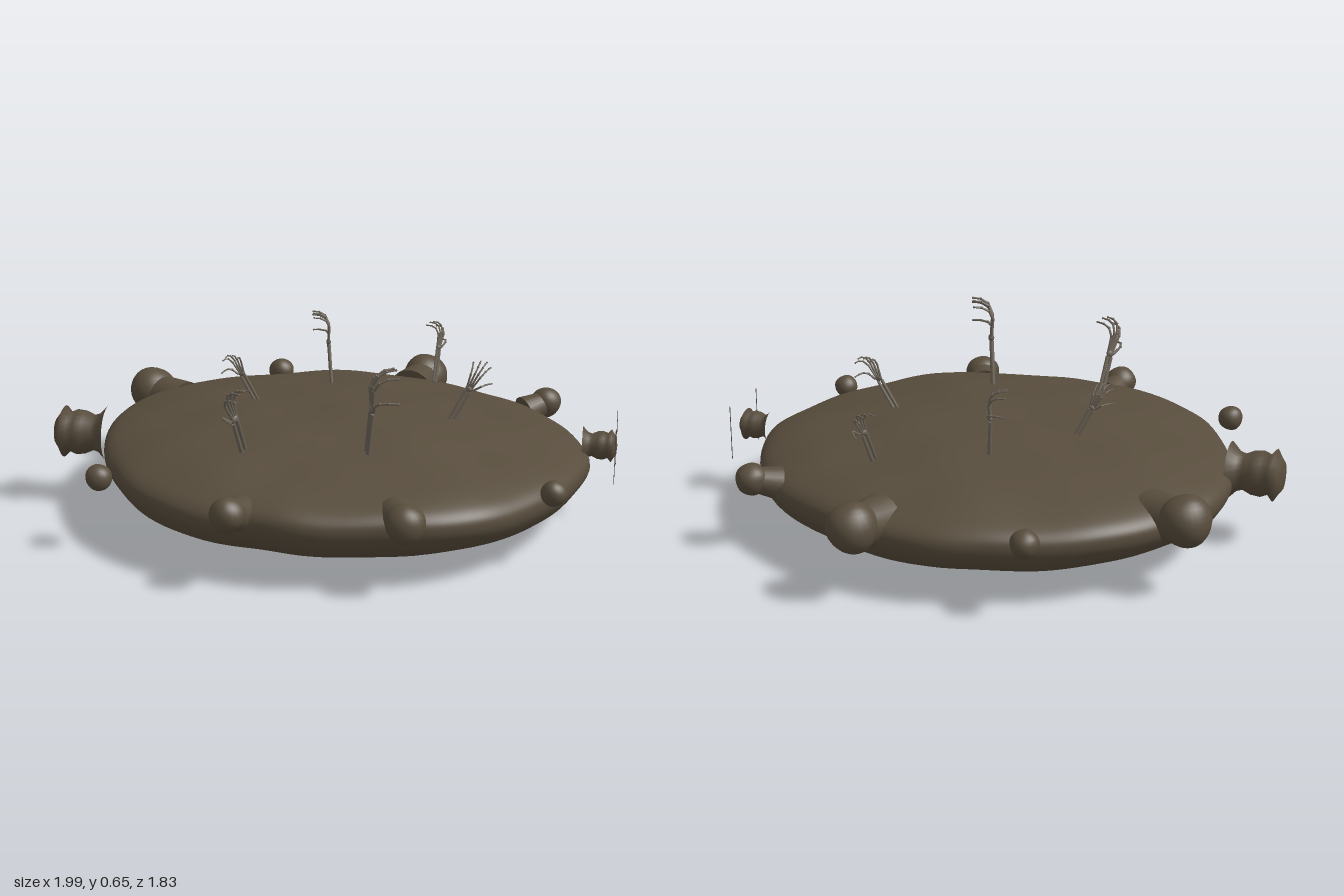
import * as THREE from 'three';
import { mergeGeometries, mergeVertices } from 'three/addons/utils/BufferGeometryUtils.js';

const V = (x, y, z) => new THREE.Vector3(x, y, z);
const earth = new THREE.MeshStandardMaterial({ color: 0x584d3d });
earth.name = 'brown earth';
const bone = new THREE.MeshStandardMaterial({ color: 0x6e665a });
bone.name = 'grey bone';

function addMesh(parent, name, geometry, material) {
  const mesh = new THREE.Mesh(geometry, material);
  mesh.name = name;
  parent.add(mesh);
  return mesh;
}

// Weld a geometry and smooth its normals
function smooth(geometry) {
  geometry.deleteAttribute('uv');
  geometry.deleteAttribute('normal');
  const welded = mergeVertices(geometry, 1e-4);
  welded.computeVertexNormals();
  return welded;
}

// Tapered rod between two points
function rod(a, b, ra, rb, sides = 6) {
  const d = b.clone().sub(a);
  const g = new THREE.CylinderGeometry(rb, ra, d.length(), sides);
  g.applyQuaternion(new THREE.Quaternion().setFromUnitVectors(V(0, 1, 0), d.normalize()));
  return g.translate((a.x + b.x) / 2, (a.y + b.y) / 2, (a.z + b.z) / 2);
}

// Lens-shaped island: a lathe whose rings follow an irregular outline
function islandGeometry() {
  const outline = new THREE.CatmullRomCurve3([
    [0, 0.86], [0.15, 0.85], [0.3, 0.82], [0.45, 0.78], [0.6, 0.69], [0.73, 0.53],
    [0.82, 0.37], [0.87, 0.2], [0.9, 0.02], [0.87, -0.12], [0.78, -0.33], [0.66, -0.5],
    [0.5, -0.62], [0.3, -0.73], [0.15, -0.78], [-0.05, -0.8], [-0.17, -0.78], [-0.3, -0.74],
    [-0.5, -0.65], [-0.65, -0.53], [-0.75, -0.4], [-0.82, -0.25], [-0.84, -0.1], [-0.83, 0.05],
    [-0.78, 0.25], [-0.7, 0.43], [-0.6, 0.59], [-0.45, 0.73], [-0.3, 0.81], [-0.15, 0.83],
  ].map(([x, z]) => V(x, 0, z)), true);
  const profile = new THREE.SplineCurve([
    [0, 0.015], [0.3, 0.022], [0.6, 0.048], [0.8, 0.082], [0.93, 0.13], [0.985, 0.18],
    [1, 0.22], [0.985, 0.255], [0.93, 0.285], [0.8, 0.32], [0.6, 0.352], [0.35, 0.378], [0, 0.392],
  ].map(([s, y]) => new THREE.Vector2(s, y)));
  const points = profile.getPoints(60);
  points.forEach(p => { p.x = Math.max(0, p.x); });
  const g = new THREE.LatheGeometry(points, 120);
  const pos = g.attributes.position, uv = g.attributes.uv;
  const cx = 0.03, cz = 0.03;
  for (let i = 0; i < pos.count; i++) {
    const s = Math.hypot(pos.getX(i), pos.getZ(i));
    const p = outline.getPointAt(uv.getX(i) % 1);
    const x = cx + s * (p.x - cx), z = cz + s * (p.z - cz);
    const lumps = 0.005 * Math.sin(7 * x + 2 * z) * Math.cos(6 * z - 3 * x) + 0.003 * Math.sin(15 * x) * Math.sin(13 * z);
    pos.setXYZ(i, x, pos.getY(i) + lumps - 0.012 * x, z);
  }
  return smooth(g);
}

// Slightly uneven ball
function ballGeometry(r, seed) {
  const g = new THREE.SphereGeometry(r, 24, 16);
  const pos = g.attributes.position;
  for (let i = 0; i < pos.count; i++) {
    const p = V().fromBufferAttribute(pos, i);
    const k = 1 + 0.035 * Math.sin(p.x / r * 3 + seed) * Math.cos(p.y / r * 3 + p.z / r * 2 + seed);
    pos.setXYZ(i, p.x * k, p.y * k, p.z * k);
  }
  return smooth(g);
}

// Skeletal hand in unit height: y along the arm, x across the fingers, z the curl
function handGeometry() {
  const parts = [
    rod(V(-0.035, -0.1, 0), V(-0.04, 0.5, 0), 0.028, 0.022),
    rod(V(0.04, -0.1, 0), V(0.035, 0.5, 0), 0.022, 0.028),
    new THREE.SphereGeometry(0.06, 8, 6).scale(1.1, 0.8, 0.6).translate(0, 0.54, 0),
  ];
  const reach = [0.72, 0.95, 1, 0.96, 0.88];
  for (let f = 0; f < 5; f++) {
    const a = f === 0 ? -2.8 : f - 2.3;
    const joints = [0, 0.4, 0.65, 0.85, 1].map((t, k) =>
      V(a * (0.025 + 0.07 * t), 0.55 + (reach[f] - 0.5) * Math.sin(t * 1.55) * 0.95,
        -0.04 * Math.sin(Math.PI * t) + 0.2 * t * t * t));
    for (let k = 0; k < 4; k++) {
      parts.push(rod(joints[k], joints[k + 1], 0.019 - 0.002 * k, 0.016 - 0.002 * k));
      parts.push(new THREE.SphereGeometry(0.021 - 0.002 * k, 6, 4).translate(...joints[k + 1].toArray()));
    }
  }
  return mergeGeometries(parts);
}

export function createModel() {
  const model = new THREE.Group();
  addMesh(model, 'island', islandGeometry(), earth);

  // Balls around the rim: x, y, z, radius, has a neck
  const balls = [
    [0.22, 0.265, -0.82, 0.085, true], [0.71, 0.265, -0.54, 0.056, true],
    [-0.78, 0.27, -0.43, 0.088, true], [-0.35, 0.27, -0.78, 0.048, false],
    [-0.7, 0.27, 0.59, 0.045, false], [-0.2, 0.27, 0.87, 0.058, true],
    [0.36, 0.26, 0.83, 0.066, true], [0.8, 0.265, 0.48, 0.043, false],
  ];
  balls.forEach(([x, y, z, r, neck], i) => {
    addMesh(model, 'rimBall', ballGeometry(r, i * 1.7), earth).position.set(x, y, z);
    if (neck) {
      const inward = V(-x, 0, -z).normalize();
      const root = V(x, 0.24, z).addScaledVector(inward, r * 1.7);
      addMesh(model, 'ballNeck', rod(V(x, y, z), root, r * 0.75, r * 1.05, 20), earth);
    }
  });

  // Trumpet-shaped knobs on both sides: distance outward and radius
  const knob = [[1.15, -1.2], [0.8, -0.85], [0.72, -0.6], [0.88, -0.25], [0.92, 0.1], [0.8, 0.4], [1.05, 0.62], [0.75, 0.8], [0.55, 0.95], [0, 1]];
  [[-0.915, 0.26, 0.09, 0.088, 1], [0.935, 0.268, -0.042, 0.055, -1]].forEach(([x, y, z, r, side]) => {
    const g = new THREE.LatheGeometry(knob.map(([a, b]) => new THREE.Vector2(a * r, b * r)), 24);
    const mesh = addMesh(model, 'sideKnob', g, earth);
    mesh.rotation.z = side * Math.PI / 2;
    mesh.position.set(x, y, z);
  });

  // Hair-thin upright slivers beside the small knob
  for (const z of [0.07, -0.145]) {
    addMesh(model, 'sliver', new THREE.BoxGeometry(0.002, 0.2, 0.002), earth).position.set(0.985, 0.265, z);
  }

  // Ring of hands leaning outward: base, then tip
  const hand = handGeometry();
  [
    [-0.3, 0.38, -0.04, -0.38, 0.55, -0.01], [-0.23, 0.35, 0.48, -0.255, 0.6, 0.61],
    [-0.07, 0.39, -0.31, -0.1, 0.62, -0.38], [0.18, 0.36, 0.44, 0.22, 0.66, 0.52],
    [0.3, 0.37, -0.45, 0.31, 0.555, -0.55], [0.42, 0.37, 0.045, 0.52, 0.56, 0.025],
  ].forEach(([bx, by, bz, tx, ty, tz]) => {
    const base = V(bx, by, bz), up = V(tx, ty, tz).sub(base), length = up.length();
    up.normalize();
    const across = V().crossVectors(up, V(bz, 0, -bx)).normalize();
    const curl = V().crossVectors(across, up);
    const mesh = addMesh(model, 'skeletalHand', hand, bone);
    mesh.quaternion.setFromRotationMatrix(new THREE.Matrix4().makeBasis(across, up, curl));
    mesh.position.copy(base);
    mesh.scale.setScalar(length);
  });
  return model;
}
